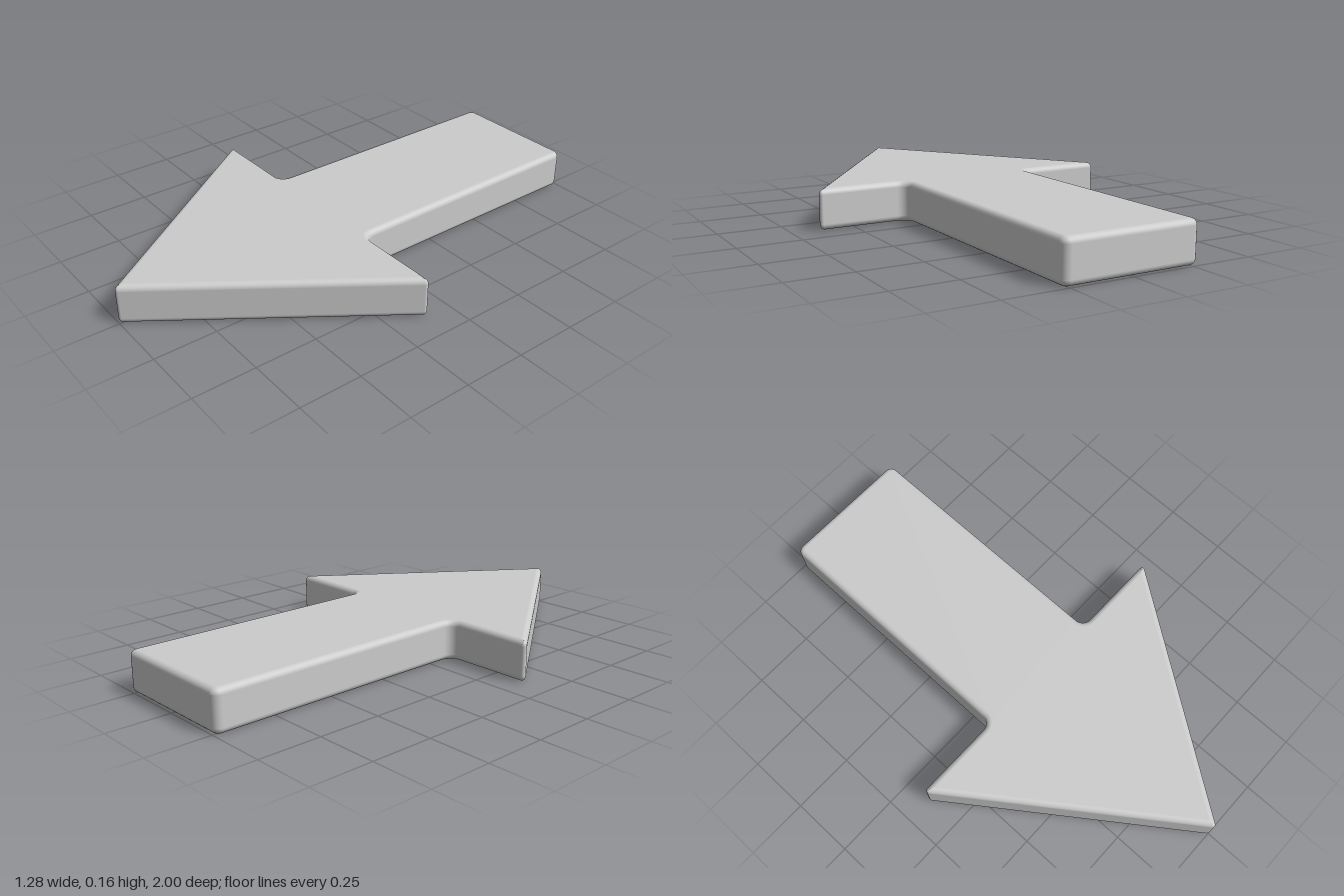
import * as THREE from 'three';

const HEIGHT = 0.163;
const BEVEL = 0.024;
const ARC = 6; // segments per rounded corner
const STEPS = 6; // segments per rounded edge

// Corners of one half of the arrow: x, z, corner radius
const half = [
  [0.275, -1, 0.03],
  [0.275, 0.1, 0.04],
  [0.651, 0.1, 0.012],
];
const corners = [
  ...half,
  [0, 1.008, 0.012],
  ...half.map(([x, z, r]) => [-x, z, r]).reverse(),
];

// Outline moved inwards by t, with rounded corners and outward normals
function outline(t) {
  const ring = [];
  const count = corners.length;
  const points = corners.map(([x, z]) => new THREE.Vector2(x, z));
  points.forEach((p, i) => {
    const d1 = p.clone().sub(points[(i + count - 1) % count]).normalize();
    const d2 = points[(i + 1) % count].clone().sub(p).normalize();
    const n1 = new THREE.Vector2(d1.y, -d1.x);
    const n2 = new THREE.Vector2(d2.y, -d2.x);
    const mitre = n1.clone().add(n2).divideScalar(1 + n1.dot(n2));
    const turn = Math.atan2(d1.cross(d2), d1.dot(d2));
    const radius = corners[i][2];
    const r = turn > 0 ? Math.max(radius, t + 0.001) : -radius;
    for (let k = 0; k <= ARC; k++) {
      const normal = n1.clone().rotateAround(new THREE.Vector2(), (turn * k) / ARC);
      const point = p.clone().addScaledVector(mitre, -r).addScaledVector(normal, r - t);
      ring.push({ point, normal });
    }
  });
  return ring;
}

function arrowGeometry() {
  const positions = [], normals = [], indices = [];

  // Side wall: rounded lower edge, straight middle, rounded upper edge
  const levels = [];
  for (let k = 0; k <= STEPS; k++) levels.push([BEVEL, -Math.PI / 2 * (1 - k / STEPS)]);
  for (let k = 0; k <= STEPS; k++) levels.push([HEIGHT - BEVEL, Math.PI / 2 * (k / STEPS)]);
  let size = 0;
  levels.forEach(([base, angle], level) => {
    const ring = outline(BEVEL * (1 - Math.cos(angle)));
    size = ring.length;
    ring.forEach(({ point, normal }, i) => {
      positions.push(point.x, base + BEVEL * Math.sin(angle), point.y);
      normals.push(normal.x * Math.cos(angle), Math.sin(angle), normal.y * Math.cos(angle));
      if (level === 0) return;
      const c = level * size + i, d = level * size + (i + 1) % size;
      const a = c - size, b = d - size;
      indices.push(a, c, b, b, c, d);
    });
  });

  // Flat top and bottom
  const flat = outline(BEVEL).map(({ point }) => point);
  const faces = THREE.ShapeUtils.triangulateShape(flat, []);
  for (const [y, up] of [[0, -1], [HEIGHT, 1]]) {
    const start = positions.length / 3;
    for (const p of flat) {
      positions.push(p.x, y, p.y);
      normals.push(0, up, 0);
    }
    for (const [a, b, c] of faces) {
      indices.push(start + a, start + (up > 0 ? c : b), start + (up > 0 ? b : c));
    }
  }

  const geometry = new THREE.BufferGeometry();
  geometry.setAttribute('position', new THREE.Float32BufferAttribute(positions, 3));
  geometry.setAttribute('normal', new THREE.Float32BufferAttribute(normals, 3));
  geometry.setIndex(indices);
  return geometry;
}

export function createModel() {
  const group = new THREE.Group();
  group.name = 'arrow';
  const body = new THREE.Mesh(arrowGeometry(), new THREE.MeshStandardMaterial({ color: 0xcccccc }));
  body.name = 'arrowBody';
  group.add(body);
  return group;
}
